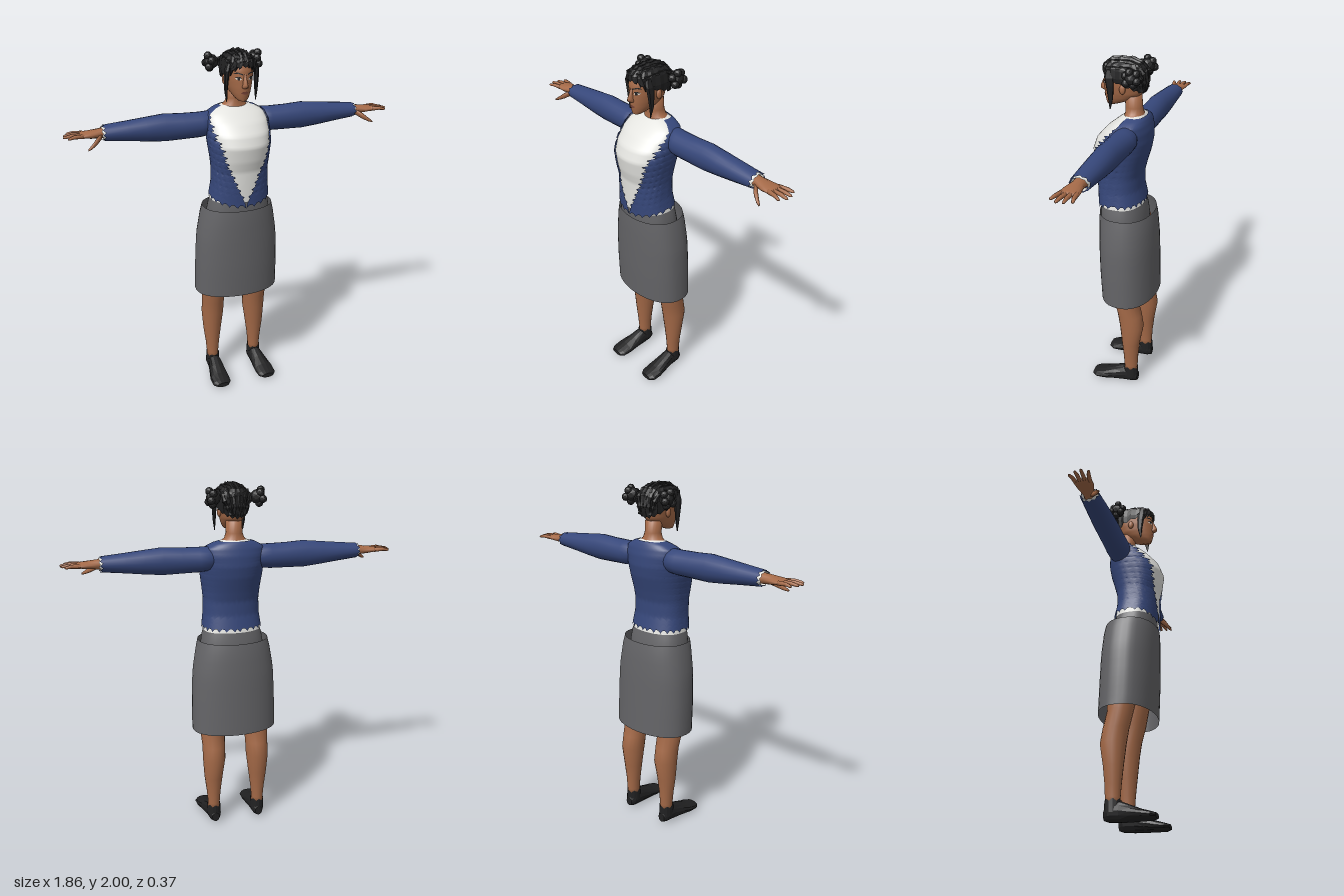
import * as THREE from 'three';
import { mergeVertices } from 'three/addons/utils/BufferGeometryUtils.js';

const paint = (name, color, extra = {}) => Object.assign(new THREE.MeshStandardMaterial({ color, side: THREE.DoubleSide, ...extra }), { name });

// Surface from a rule: u runs around, v runs along
function grid(nu, nv, fn) {
  const pos = [], index = [];
  for (let j = 0; j <= nv; j++) for (let i = 0; i <= nu; i++) pos.push(...fn(i / nu, j / nv, i, j));
  for (let j = 0; j < nv; j++) for (let i = 0; i < nu; i++) {
    const a = j * (nu + 1) + i, b = a + 1, d = a + nu + 1, c = d + 1;
    index.push(a, b, c, a, c, d);
  }
  const g = new THREE.BufferGeometry();
  g.setAttribute('position', new THREE.Float32BufferAttribute(pos, 3));
  g.setIndex(index);
  const m = mergeVertices(g, 1e-5);
  m.computeVertexNormals();
  return m;
}

// Elliptical limb; sections are [t along axis, centre 1, centre 2, radius 1, radius 2]
function loft(axis, sections, { segs = 14, caps = true, jag = 0 } = {}) {
  const s = [...sections], n = s.length;
  if (caps) {
    s.unshift([...s[0].slice(0, 3), 0, 0]);
    s.push([...s[n].slice(0, 3), 0, 0]);
  }
  return grid(segs, s.length - 1, (u, v, i, j) => {
    const [t, c1, c2, r1, r2] = s[j], a = u * Math.PI * 2;
    const k = t + (j === s.length - 1 ? (i % 2) * jag : 0);
    if (axis === 'y') return [c1 + r1 * Math.sin(a), k, c2 + r2 * Math.cos(a)];
    const p = c1 + r1 * Math.cos(a), q = c2 + r2 * Math.sin(a);
    return axis === 'x' ? [k, p, q] : [p, q, k];
  });
}

// Linear lookup in rows sorted by their first value
function look(rows, y) {
  let k = 0;
  while (k < rows.length - 2 && y > rows[k + 1][0]) k++;
  const t = THREE.MathUtils.clamp((y - rows[k][0]) / (rows[k + 1][0] - rows[k][0]), 0, 1);
  return rows[k].map((n, i) => n + (rows[k + 1][i] - n) * t);
}

// Point on a body profile whose rows are [y, half width, front z, back z]
function onBody(rows, y, a, off = 0, pow = 0.75) {
  const [, w, zf, zb] = look(rows, y), c = Math.cos(a);
  return [(w + off) * Math.sin(a), y, (zf + zb) / 2 + ((zf - zb) / 2 + off) * Math.sign(c) * Math.abs(c) ** pow];
}
const bodyLoft = (rows, nu, nv, off, pow) => grid(nu, nv, (u, v) =>
  onBody(rows, rows[0][0] + (rows.at(-1)[0] - rows[0][0]) * v, u * Math.PI * 2, off, pow));

function mirrored(geo) {
  const g = geo.clone().scale(-1, 1, 1), ix = g.index.array;
  for (let i = 0; i < ix.length; i += 3) [ix[i], ix[i + 1]] = [ix[i + 1], ix[i]];
  return g;
}

const TORSO = [[1.185, .163, .148, -.1], [1.28, .15, .152, -.08], [1.36, .148, .155, -.08], [1.42, .153, .172, -.095],
  [1.5, .163, .185, -.118], [1.56, .168, .163, -.128], [1.62, .168, .11, -.125], [1.66, .155, .06, -.115],
  [1.685, .11, .025, -.105], [1.7, .06, 0, -.09]];
const LAPEL = [[1.14, 0], [1.18, .005], [1.27, .045], [1.35, .075], [1.42, .105], [1.5, .125], [1.56, .148], [1.62, .155], [1.7, .165]];
const WAIST = [[1, .18, .13, -.12], [1.13, .178, .142, -.11], [1.21, .155, .138, -.09]];
const SKIRT = [[.6, .245, .135, -.185], [.78, .243, .145, -.18], [.95, .235, .15, -.175], [1.08, .213, .152, -.165], [1.135, .2, .15, -.155]];
const HEAD = [[1.742, .022, .115, .06], [1.755, .036, .119, .02], [1.78, .05, .125, -.04], [1.81, .061, .128, -.08],
  [1.85, .069, .129, -.093], [1.9, .074, .127, -.098], [1.95, .066, .115, -.088], [1.98, .03, .06, -.04]];
const HAIR = [[1.8, .07, .1, -.09], [1.85, .083, .125, -.108], [1.9, .089, .136, -.113], [1.95, .083, .132, -.105],
  [1.975, .06, .105, -.08], [1.99, .008, .02, -.005]];

export function createModel() {
  const model = new THREE.Group();
  const skin = paint('skin', 0xa56a48), black = paint('black', 0x212122, { flatShading: true });
  const blue = paint('jacket blue', 0x36477a), white = paint('shirt white', 0xe4e4e0);
  const grey = paint('skirt grey', 0x646467), lip = paint('lip brown', 0x7c4638), eyeWhite = paint('eye white', 0xd9d0c6);
  const add = (name, geo, mat) => {
    const m = new THREE.Mesh(geo, mat);
    m.name = name;
    model.add(m);
  };
  const pair = (name, geo, mat) => {
    add(name + 'Left', geo, mat);
    add(name + 'Right', mirrored(geo), mat);
  };

  // Clothing: shirt, waistband and skirt
  add('shirt', bodyLoft(TORSO, 64, 44), white);
  add('waistband', bodyLoft(WAIST, 40, 4), grey);
  add('skirt', bodyLoft(SKIRT, 40, 10, 0, .85), grey);

  // Open jacket with ragged front edges and hem
  const half = grid(34, 56, (u, v, i, j) => {
    const bottom = a => 1.2 - .04 * Math.max(0, Math.cos(a)) ** 2 + (i % 3 ? .009 : -.007);
    let a = u * Math.PI;
    const hem = bottom(a), y = hem + (1.695 - hem) * v;
    const tooth = y > 1.22 ? [.014, -.003, .004, -.012][j % 4] : 0;
    const edge = Math.max(0, look(LAPEL, y)[1] + tooth);
    const a0 = Math.asin(Math.min(.96, edge / look(TORSO, y)[1]));
    a = a0 + (Math.PI - a0) * u;
    return onBody(TORSO, y, a, .008);
  });
  pair('jacketHalf', half, blue);

  // Sleeves and shirt cuffs
  pair('sleeve', loft('x', [[.1, 1.605, -.045, .045, .045], [.15, 1.602, -.04, .066, .066], [.2, 1.598, -.036, .068, .07],
    [.3, 1.598, -.035, .07, .066], [.4, 1.6, -.035, .074, .064], [.5, 1.6, -.035, .064, .062], [.6, 1.601, -.035, .053, .058],
    [.715, 1.602, -.036, .04, .052]], { segs: 20, caps: false, jag: .014 }), blue);
  pair('cuff', loft('x', [[.68, 1.602, -.036, .038, .047], [.728, 1.602, -.036, .034, .043]], { segs: 18, caps: false, jag: .006 }), white);

  // Hands with four fingers and a thumb
  pair('palm', loft('x', [[.68, 1.602, -.036, .032, .035], [.74, 1.603, -.034, .026, .032], [.79, 1.602, -.031, .02, .046],
    [.835, 1.603, -.033, .014, .05], [.85, 1.603, -.033, .008, .045]]), skin);
  [[.003, .022, .91], [-.021, -.012, .93], [-.045, -.046, .925], [-.069, -.082, .908]].forEach(([z0, z1, tip], k) =>
    pair('finger' + k, loft('x', [[.825, 1.603, z0, .012, .012], [(tip + .84) / 2, 1.606, (z0 + z1) / 2, .01, .0105],
      [tip - .008, 1.602, z1, .007, .008], [tip, 1.601, z1, .003, .004]], { segs: 8 }), skin));
  pair('thumb', loft('x', [[.735, 1.592, -.015, .016, .016], [.765, 1.572, .015, .017, .015], [.795, 1.552, .035, .011, .011],
    [.816, 1.541, .046, .005, .006]], { segs: 8 }), skin);

  // Legs and shoes
  pair('leg', loft('y', [[.09, .136, -.07, .034, .038], [.13, .136, -.071, .035, .041], [.2, .136, -.07, .041, .045],
    [.3, .136, -.07, .054, .055], [.42, .132, -.073, .066, .072], [.5, .131, -.06, .066, .072], [.6, .132, -.035, .073, .072],
    [.8, .115, -.015, .09, .095], [1.05, .1, 0, .085, .1]], { segs: 18 }), skin);
  pair('shoe', loft('z', [[-.115, .135, .042, .022, .028], [-.09, .135, .055, .037, .05], [-.03, .136, .056, .041, .056],
    [.03, .14, .043, .049, .043], [.09, .145, .031, .058, .03], [.14, .146, .024, .056, .022], [.165, .146, .024, .038, .014]]), black);
  pair('shoeCollar', loft('y', [[.05, .136, -.07, .041, .046], [.108, .136, -.07, .039, .045]], { caps: false, jag: .014 }), black);

  // Neck, head, ears and nose
  add('neck', loft('y', [[1.665, 0, -.04, .11, .06], [1.69, 0, -.04, .08, .056], [1.706, 0, -.038, .056, .05],
    [1.735, 0, -.035, .045, .047], [1.8, 0, -.03, .045, .047]], { segs: 20 }), skin);
  add('head', bodyLoft(HEAD, 36, 30, 0, .85), skin);
  add('chin', loft('y', [[1.741, 0, .085, .012, .022], [1.75, 0, .085, .026, .033], [1.768, 0, .08, .032, .04]]), skin);
  add('nose', loft('y', [[1.812, 0, .126, .012, .012], [1.82, 0, .13, .018, .023], [1.832, 0, .13, .013, .024],
    [1.885, 0, .122, .007, .008]], { segs: 8 }), skin);
  pair('ear', new THREE.SphereGeometry(1, 10, 8).scale(.011, .026, .017).translate(.073, 1.842, .005), skin);

  // Thin face details wrapped onto the head
  const plate = (pts, lift) => {
    const g = new THREE.ShapeGeometry(new THREE.Shape(pts.map(p => new THREE.Vector2(...p)))), p = g.attributes.position;
    for (let i = 0; i < p.count; i++) {
      const x = p.getX(i), y = p.getY(i);
      p.setZ(i, onBody(HEAD, y, Math.asin(x / look(HEAD, y)[1]), 0, .85)[2] + lift);
    }
    g.computeVertexNormals();
    return g;
  };
  pair('eyeWhite', plate([[.018, 1.859], [.03, 1.854], [.042, 1.857], [.048, 1.864], [.034, 1.869], [.024, 1.867]], .003), eyeWhite);
  pair('iris', plate([[.028, 1.855], [.037, 1.855], [.039, 1.863], [.036, 1.869], [.028, 1.868]], .005), black);
  pair('eyelid', plate([[.016, 1.86], [.024, 1.866], [.035, 1.868], [.051, 1.865], [.04, 1.873], [.026, 1.872]], .006), black);
  pair('eyebrow', plate([[.013, 1.88], [.035, 1.888], [.055, 1.886], [.04, 1.896], [.014, 1.887]], .004), black);
  add('lips', plate([[-.022, 1.788], [-.008, 1.779], [.008, 1.779], [.022, 1.788], [.006, 1.796], [0, 1.794], [-.006, 1.796]], .004), lip);

  // Hair cap with a higher hairline over the face
  add('hairCap', grid(36, 9, (u, v, i) => {
    const a = u * Math.PI * 2, c = Math.cos(a);
    const hem = (c > 0 ? 1.868 + .056 * c : 1.868 + .05 * c) + (i % 2 ? .008 : -.005);
    return onBody(HAIR, hem + (1.99 - hem) * v, a, (i % 2) * .004, .85);
  }), black);

  // Braided rows running front to back
  [-.07, -.042, -.014, .014, .042, .07].forEach((x, k) => {
    const d = x * x * 7;
    const path = new THREE.CatmullRomCurve3([[x * .8, 1.935, .13 - d], [x * .9, 1.975 - d, .095], [x, 1.987 - d, .03],
      [x, 1.983 - d, -.045], [x, 1.945 - d, -.095], [x * .8, 1.885, -.108 + d * .6], [x * .55, 1.835, -.092]]
      .map(p => new THREE.Vector3(...p)));
    const braid = new THREE.TubeGeometry(path, 22, .013, 5), p = braid.attributes.position;
    for (let i = 0; i < p.count; i++) {
      const ring = Math.floor(i / 6), c = path.getPointAt(ring / 22), f = ring % 3 === 1 ? 1.1 : .75;
      p.setXYZ(i, c.x + (p.getX(i) - c.x) * f, c.y + (p.getY(i) - c.y) * f, c.z + (p.getZ(i) - c.z) * f);
    }
    braid.computeVertexNormals();
    add('braid' + k, braid, black);
  });

  // Fringe strands and long side locks
  [[.02, .025, 1.905], [.036, .045, 1.89], [.052, .066, 1.875]].forEach(([top, tip, y], k) =>
    pair('fringe' + k, loft('y', [[y, tip, .128 - tip * .6, .002, .003], [(y + 1.96) / 2, (top + tip) / 2, .131 - tip * .5, .014, .01],
      [1.965, top * .7, .105, .012, .012]], { segs: 6 }), black));
  pair('sideLock', loft('y', [[1.735, .081, .07, .002, .003], [1.79, .084, .066, .008, .014], [1.86, .083, .07, .013, .022],
    [1.9, .081, .075, .014, .026], [1.94, .07, .075, .012, .02]], { segs: 7 }), black);

  // Twin buns made of knotted clumps
  const clump = (r, x, y, z) => mergeVertices(new THREE.IcosahedronGeometry(r, 1).deleteAttribute('uv').translate(x, y, z), 1e-5);
  pair('bun', clump(.04, .122, 1.925, -.065), black);
  for (let k = 0; k < 6; k++) {
    const a = k * Math.PI / 3 + .3;
    pair('bunKnot' + k, clump(.022, .128 + (k % 2) * .013, 1.925 + .034 * Math.sin(a), -.065 + .034 * Math.cos(a)), black);
  }
  return model;
}
